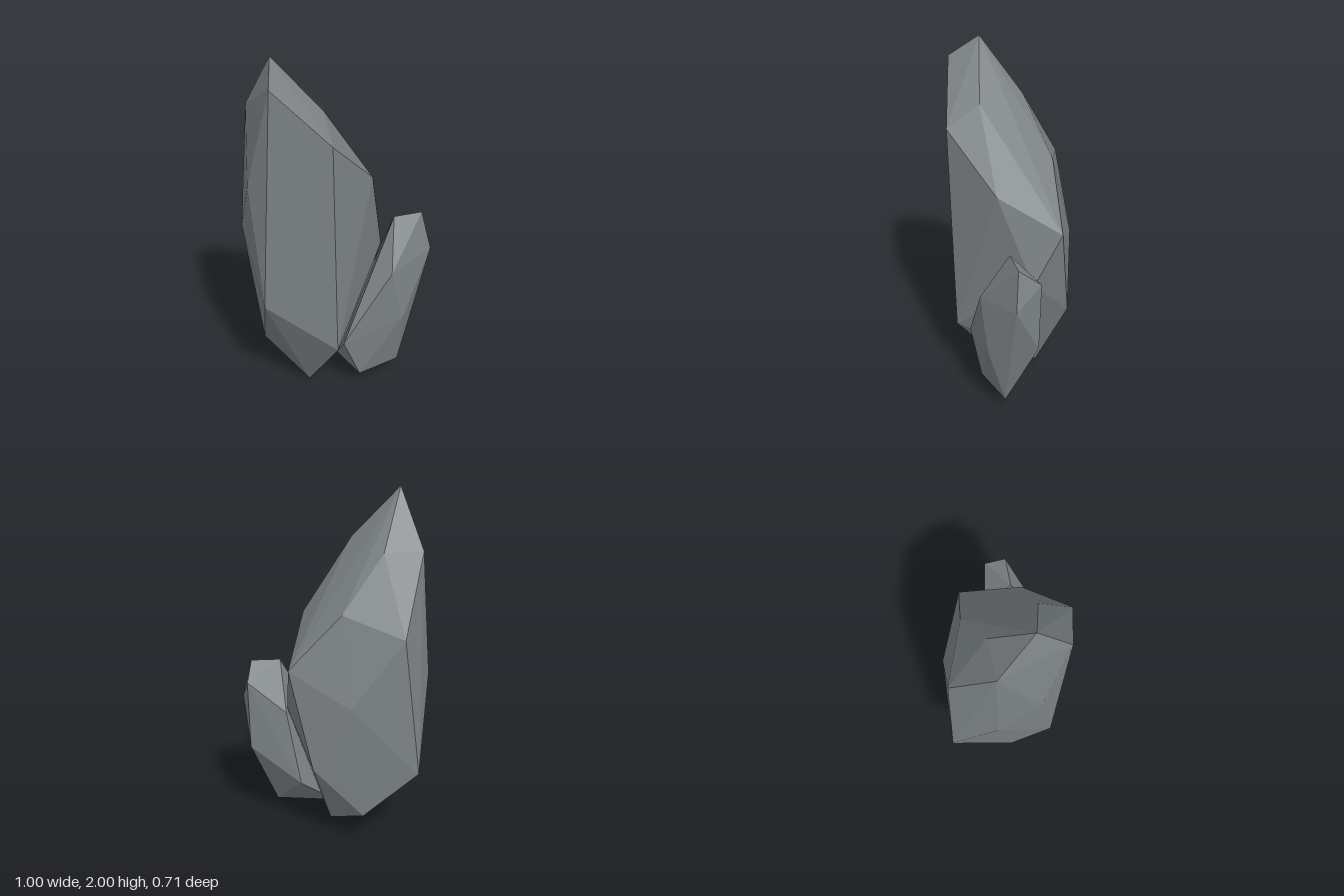
import * as THREE from 'three';
import { ConvexGeometry } from 'three/addons/geometries/ConvexGeometry.js';

// A faceted stone is the convex skin around its corner points
function stone(name, corners, material) {
  const points = corners.map(([x, y, z]) => new THREE.Vector3(x, y, z));
  const mesh = new THREE.Mesh(new ConvexGeometry(points), material);
  mesh.name = name;
  return mesh;
}

export function createModel() {
  const group = new THREE.Group();
  group.name = 'rocks';
  const grey = new THREE.MeshStandardMaterial({ color: 0x7c8284 });
  grey.name = 'stone grey';

  // Tall leaning rock
  group.add(stone('tallRock', [
    // peak and upper slope
    [-0.36, 2.0, 0.09], [-0.42, 1.89, 0.245], [-0.12, 1.72, 0.18],
    [-0.22, 1.7, -0.1], [-0.433, 1.7, -0.11], [-0.14, 1.6, 0.357],
    // shoulder
    [0.02, 1.41, -0.175], [-0.505, 1.33, 0.1], [0.15, 1.31, 0.19],
    [-0.28, 1.3, -0.325], [0.3, 1.1, -0.12], [-0.487, 1.0, -0.115],
    // waist
    [0, 0.92, -0.3], [0.28, 0.8, 0.035], [-0.47, 0.65, 0.2],
    [0.19, 0.53, -0.21], [-0.37, 0.51, -0.357],
    // foot
    [-0.11, 0.375, 0.355], [-0.415, 0.305, -0.01], [0.1, 0.23, 0.02],
    [-0.08, 0.23, -0.275], [0.06, 0.11, -0.07], [-0.18, 0, 0.09],
  ], grey));

  // Small rock resting against its side
  group.add(stone('smallRock', [
    // top
    [0.29, 1.04, 0.175], [0.45, 1.045, 0.19], [0.492, 0.96, 0.08],
    // middle
    [0.5, 0.82, 0.22], [0.22, 0.77, 0.32], [0.29, 0.78, 0.02],
    [0.487, 0.55, 0.09], [0.3, 0.46, 0.312],
    // foot
    [-0.05, 0.36, 0.295], [0.22, 0.33, -0.015], [0, 0.13, 0.07],
    [0.32, 0.1, 0.22], [0.06, 0.1, 0.27],
  ], grey));

  return group;
}
